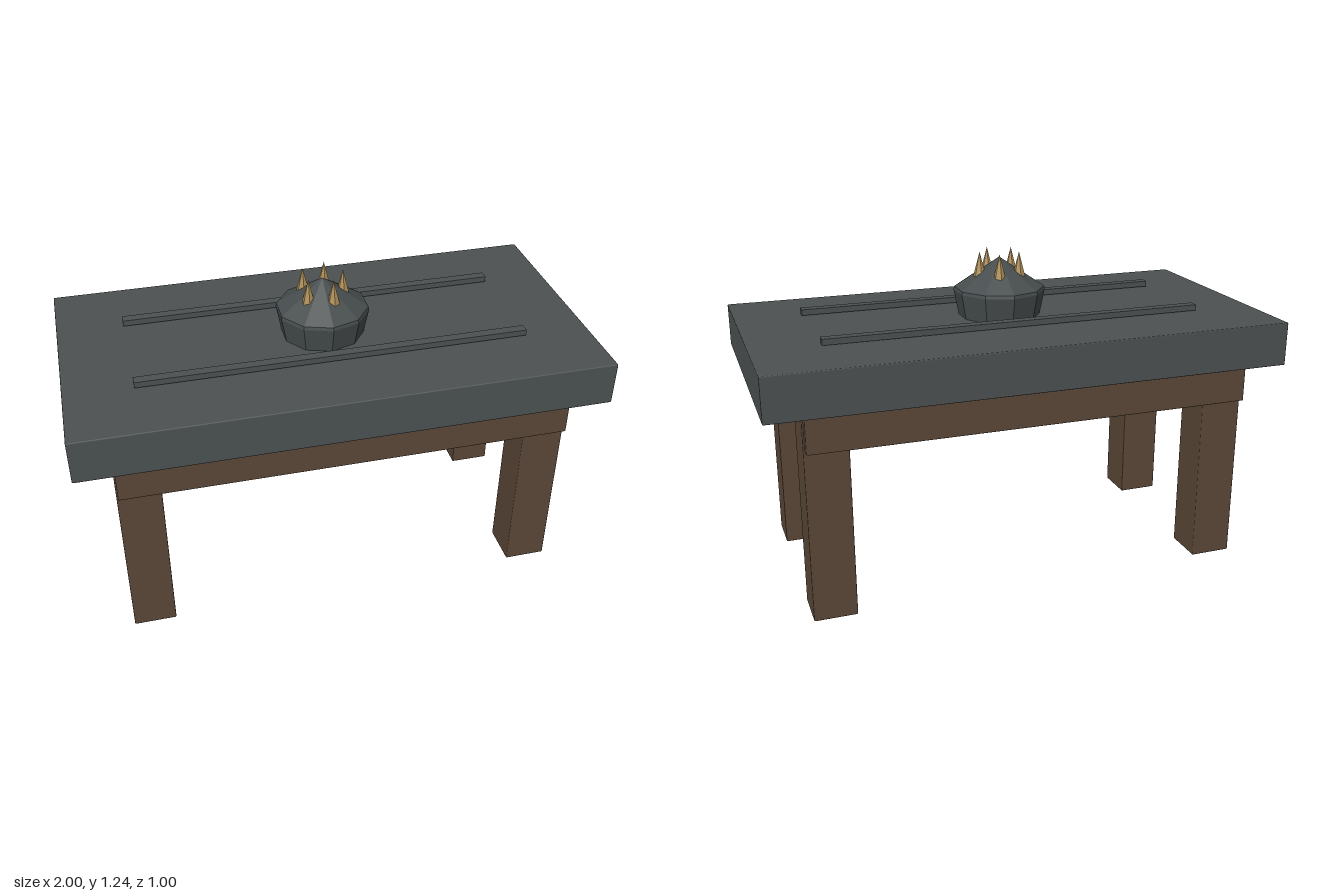
import * as THREE from 'three';
import { RoundedBoxGeometry } from 'three/addons/geometries/RoundedBoxGeometry.js';

const material = (name, color) => {
  const m = new THREE.MeshStandardMaterial({ color });
  m.name = name;
  return m;
};

export function createModel() {
  const model = new THREE.Group();
  model.name = 'stoneTable';
  const stone = material('stone grey', 0x4c5152);
  const iron = material('dark iron', 0x474d4e);
  const wood = material('brown wood', 0x5c4838);
  const brass = material('brass', 0xb0905a);

  const add = (name, geometry, mat, x, y, z) => {
    const mesh = new THREE.Mesh(geometry, mat);
    mesh.name = name;
    mesh.position.set(x, y, z);
    model.add(mesh);
    return mesh;
  };
  const box = (w, h, d) => new RoundedBoxGeometry(w, h, d, 1, 0.004);

  // Thick slab top
  add('slab', box(2, 0.17, 1), stone, 0, 0.9, 0);

  for (const side of [1, -1]) {
    const s = side > 0 ? 'front' : 'back';
    // Square legs
    for (const x of [0.78, -0.78]) {
      add(s + (x > 0 ? 'LeftLeg' : 'RightLeg'), box(0.163, 0.816, 0.163), wood, x, 0.408, side * 0.336);
    }
    // Long apron overlapping the outer leg faces
    add(s + 'Apron', box(1.712, 0.137, 0.08), wood, 0, 0.738, side * 0.414);
    // Thin rail along the top
    add(s + 'Rail', new THREE.BoxGeometry(1.49, 0.023, 0.037), stone, 0, 1.002, side * 0.217);
  }

  // Ten-sided bowl with a conical cover
  const profile = [[0, 0.98], [0.159, 0.98], [0.179, 1.083], [0.176, 1.096], [0, 1.212]]
    .map(([r, y]) => new THREE.Vector2(r, y));
  const bowl = new THREE.LatheGeometry(profile, 10).toNonIndexed();
  bowl.computeVertexNormals();
  add('bowl', bowl, iron, 0, 0, 0);

  // Ring of five spikes
  const spike = new THREE.ConeGeometry(0.026, 0.1, 6).toNonIndexed();
  spike.computeVertexNormals();
  for (let i = 0; i < 5; i++) {
    const a = (i / 5) * Math.PI * 2;
    add('spike' + (i + 1), spike, brass, Math.cos(a) * 0.08, 1.187, Math.sin(a) * 0.08);
  }
  return model;
}
